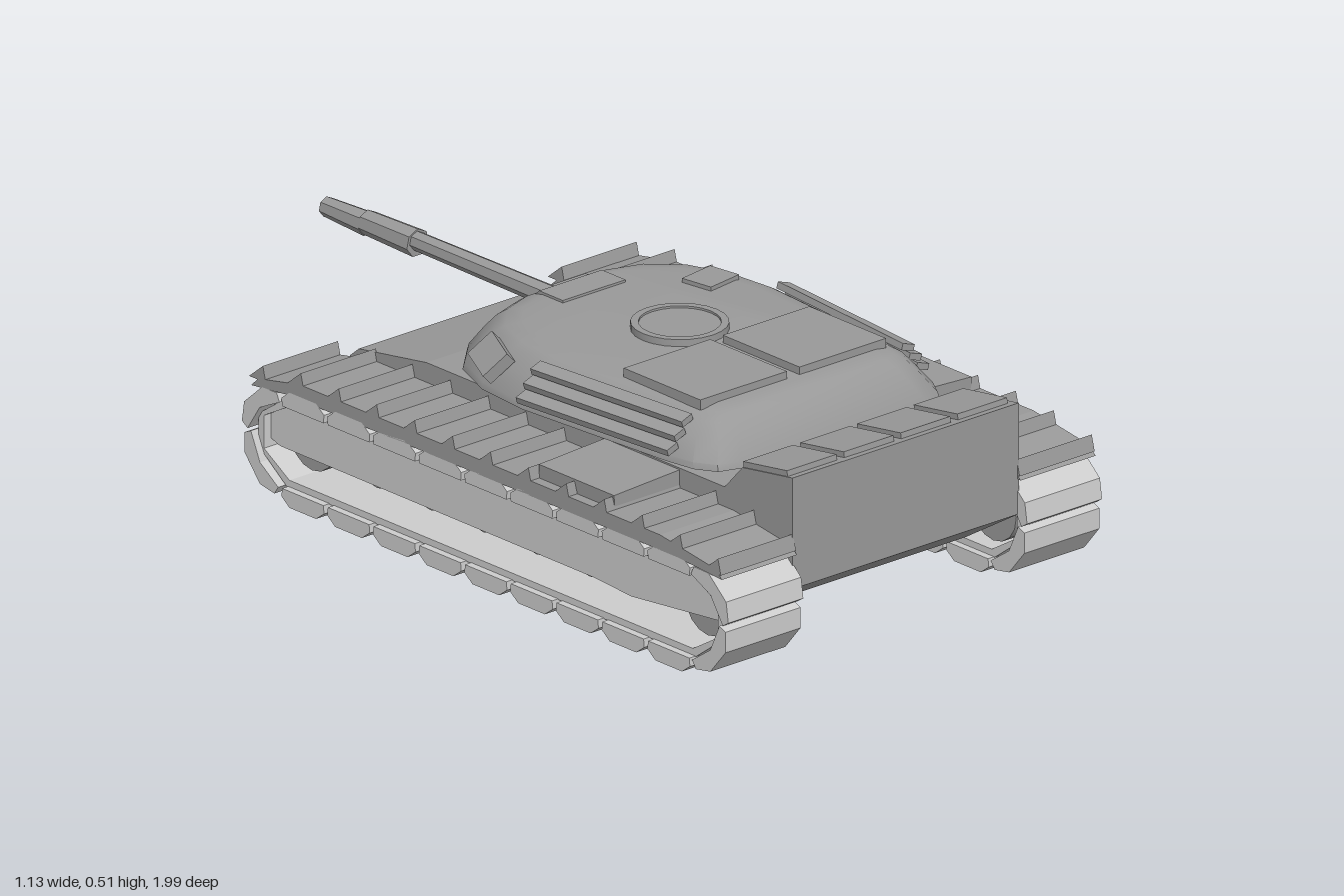
import * as THREE from 'three';
import { toCreasedNormals } from 'three/addons/utils/BufferGeometryUtils.js';

const hullGrey = new THREE.MeshStandardMaterial({ color: 0x999999 });
hullGrey.name = 'hull grey';
const trackGrey = new THREE.MeshStandardMaterial({ color: 0xcccccc });
trackGrey.name = 'light track grey';

// Side outline given as [z, y] points, extruded across x and centred on x = 0
function sideExtrude(points, width, hole) {
  const toVec = (list) => list.map(([z, y]) => new THREE.Vector2(z, y));
  const shape = new THREE.Shape(toVec(points));
  if (hole) shape.holes.push(new THREE.Path(toVec(hole)));
  return new THREE.ExtrudeGeometry(shape, { depth: width, bevelEnabled: false })
    .rotateY(-Math.PI / 2).translate(width / 2, 0, 0);
}

// Smooth loft through rings of equal point count (each running clockwise seen from above), capped at both ends
function loft(rings) {
  const n = rings[0].length, pos = [], idx = [];
  rings.forEach((r) => r.forEach((p) => pos.push(...p)));
  for (let k = 0; k < rings.length - 1; k++) {
    for (let i = 0; i < n; i++) {
      const a = k * n + i, b = k * n + (i + 1) % n;
      idx.push(a, a + n, b, b, a + n, b + n);
    }
  }
  const top = (rings.length - 1) * n;
  for (let i = 1; i < n - 1; i++) {
    idx.push(0, i, i + 1, top, top + i + 1, top + i);
  }
  const g = new THREE.BufferGeometry();
  g.setAttribute('position', new THREE.Float32BufferAttribute(pos, 3));
  g.setIndex(idx);
  return toCreasedNormals(g, 0.6);
}

export function createModel() {
  const model = new THREE.Group();
  model.name = 'tank';

  function add(name, geometry, material, x = 0, y = 0, z = 0, parent = model) {
    const m = new THREE.Mesh(geometry, material);
    m.name = name;
    m.position.set(x, y, z);
    parent.add(m);
    return m;
  }
  const box = (w, h, d) => new THREE.BoxGeometry(w, h, d);

  // Hull with raised engine deck
  add('hull', sideExtrude([
    [0.78, 0.07], [0.96, 0.18], [0.96, 0.45], [0.79, 0.425], [0.73, 0.36],
    [-0.28, 0.36], [-0.51, 0.325], [-0.54, 0.30], [-0.42, 0.07],
  ], 0.685), hullGrey);

  // Four engine deck panels
  for (let i = 0; i < 4; i++) {
    const p = add('deckPanel', box(0.15, 0.014, 0.15), hullGrey, -0.265 + i * 0.172, 0.443, 0.865);
    p.rotation.x = -0.146;
  }

  // Running gear, built once per side
  const shoeShape = [[-0.07, -0.02], [0.07, -0.02], [0.072, 0], [0.045, 0.02], [-0.045, 0.02], [-0.072, 0]];
  const shoeGeo = sideExtrude(shoeShape, 0.227);
  const endShoeGeo = sideExtrude([[-0.072, -0.032], [0, -0.012], [0.072, -0.032], [0.078, -0.01], [0.04, 0.022], [-0.04, 0.022], [-0.078, -0.01]], 0.227);
  const loop = (s) => [
    [0.86 - s / 2, 0.04 + s], [0.955 - s, 0.11], [0.955 - s, 0.19], [0.86 - s / 2, 0.255 - s],
    [-0.525 + s / 2, 0.255 - s], [-0.62 + s, 0.19], [-0.62 + s, 0.11], [-0.525 + s / 2, 0.04 + s],
  ];
  const beltGeo = sideExtrude(loop(0), 0.19, loop(0.018));
  const skirtGeo = sideExtrude([
    [0.92, 0.14], [0.93, 0.2], [0.91, 0.228], [-0.58, 0.228], [-0.6, 0.2],
    [-0.6, 0.13], [-0.57, 0.12], [0.5, 0.118], [0.62, 0.11],
  ], 0.02);
  const fenderGeo = sideExtrude([
    [0.97, 0.265], [0.95, 0.285], [0.76, 0.312], [-0.46, 0.312], [-0.60, 0.285], [-0.625, 0.262],
    [-0.5, 0.275], [0.82, 0.275],
  ], 0.227);
  const ridgeGeo = sideExtrude([[-0.035, -0.01], [0.022, -0.01], [0.012, 0.028]], 0.227);
  const wheelGeo = (r) => new THREE.CylinderGeometry(r, r, 0.12, 16).rotateZ(Math.PI / 2);

  for (const side of [1, -1]) {
    const gear = new THREE.Group();
    gear.name = side > 0 ? 'leftTrack' : 'rightTrack';
    gear.position.x = side * 0.452;
    model.add(gear);

    add('trackBelt', beltGeo, trackGrey, 0, 0, 0, gear);
    add('sideSkirt', skirtGeo, trackGrey, side * 0.065, 0, 0, gear);
    add('fender', fenderGeo, hullGrey, 0, 0, 0, gear);

    // Shoes along the lower and upper runs
    for (let i = 0; i < 9; i++) {
      const z = 0.79 - i * 0.155;
      add('lowerShoe', shoeGeo, trackGrey, 0, 0.022, z, gear).rotation.x = Math.PI;
      add('upperShoe', shoeGeo, trackGrey, 0, 0.262, z, gear);
    }
    // Shoes wrapping the two ends
    for (const end of [1, -1]) {
      const z = 0.168 + end * 0.772;
      add('endShoe', endShoeGeo, trackGrey, 0, 0.225, z, gear).rotation.x = end * 0.72;
      add('endShoe', endShoeGeo, trackGrey, 0, 0.075, z, gear).rotation.x = end * 2.27;
    }
    // Cross ridges on the fender
    for (let i = 0; i < 13; i++) {
      const z = 0.945 - i * 0.1285;
      const drop = Math.max(0, z - 0.76, -0.46 - z) * 0.16;
      add('fenderRidge', ridgeGeo, hullGrey, 0, 0.314 - drop, z, gear);
    }
    // Wheels
    for (const z of [0.84, -0.5]) add('endWheel', wheelGeo(0.078), hullGrey, -side * 0.02, 0.15, z, gear);
    for (let i = 0; i < 6; i++) {
      add('roadWheel', wheelGeo(0.06), hullGrey, -side * 0.02, 0.155, 0.62 - i * 0.18, gear);
    }
    // Stowage box on the fender
    const bin = add('stowageBox', box(0.2, 0.04, 0.255), hullGrey, -side * 0.012, 0.331, 0.45, gear);
    bin.rotation.z = -side * 0.05;
  }

  // Turret body
  const half = [
    [0.15, -0.27], [0.26, -0.235], [0.35, -0.15], [0.398, -0.03], [0.412, 0.12], [0.395, 0.35],
    [0.378, 0.57], [0.365, 0.65], [0.335, 0.70], [0.28, 0.718],
  ];
  const plan = [...half, ...half.slice().reverse().map(([x, z]) => [-x, z])];
  const ring = (y, sx, sz) => plan.map(([x, z]) => [x * sx, y, 0.235 + (z - 0.235) * sz]);
  add('turret', loft([
    ring(0.385, 1, 1), ring(0.4, 0.995, 0.99), ring(0.445, 0.91, 0.93),
    ring(0.475, 0.85, 0.88), ring(0.49, 0.79, 0.84), ring(0.497, 0.7, 0.78),
  ]), hullGrey);
  add('turretRing', new THREE.CylinderGeometry(0.3, 0.3, 0.04, 32), hullGrey, 0, 0.37, 0.2);

  // Rails stepped up the turret sides
  for (const side of [1, -1]) {
    for (let i = 0; i < 3; i++) {
      const r = add('turretRail', box(0.035, 0.016, 0.47), hullGrey, side * (0.398 - i * 0.022), 0.42 + i * 0.029, 0.36);
      r.rotation.set(0, -side * 0.085, side * -0.3);
    }
  }

  // Roof hatches, cupola and sights
  for (const x of [-0.16, 0.14]) add('roofHatch', box(0.262, 0.025, 0.26), hullGrey, x, 0.503, 0.46);
  add('cupola', new THREE.CylinderGeometry(0.095, 0.1, 0.018, 24), hullGrey, -0.005, 0.5, 0.2);
  add('cupolaRim', toCreasedNormals(new THREE.LatheGeometry([
    [0.112, 0], [0.112, 0.02], [0.094, 0.02], [0.094, 0],
  ].map(([x, y]) => new THREE.Vector2(x, y)), 24), 0.6), hullGrey, -0.005, 0.494, 0.2);
  add('roofSight', box(0.1, 0.03, 0.085), hullGrey, 0.24, 0.492, 0.03).rotation.y = 0.15;
  add('sideSight', box(0.075, 0.03, 0.11), hullGrey, -0.37, 0.455, -0.03).rotation.set(0.15, -0.4, 0.8);

  // Gun mantlet, barrel and muzzle
  add('mantlet', sideExtrude([
    [-0.295, 0.375], [-0.3, 0.39], [-0.17, 0.503], [-0.09, 0.503], [-0.09, 0.4],
  ], 0.19), hullGrey, -0.005);
  const tube = (r0, r1, len) => toCreasedNormals(new THREE.CylinderGeometry(r1, r0, len, 7).rotateX(-Math.PI / 2), 0.5);
  add('barrel', tube(0.027, 0.023, 0.52), hullGrey, -0.005, 0.444, -0.45);
  add('muzzleSleeve', tube(0.034, 0.03, 0.17), hullGrey, -0.003, 0.438, -0.775);
  add('muzzle', tube(0.03, 0.024, 0.14), hullGrey, -0.002, 0.434, -0.93);

  return model;
}
